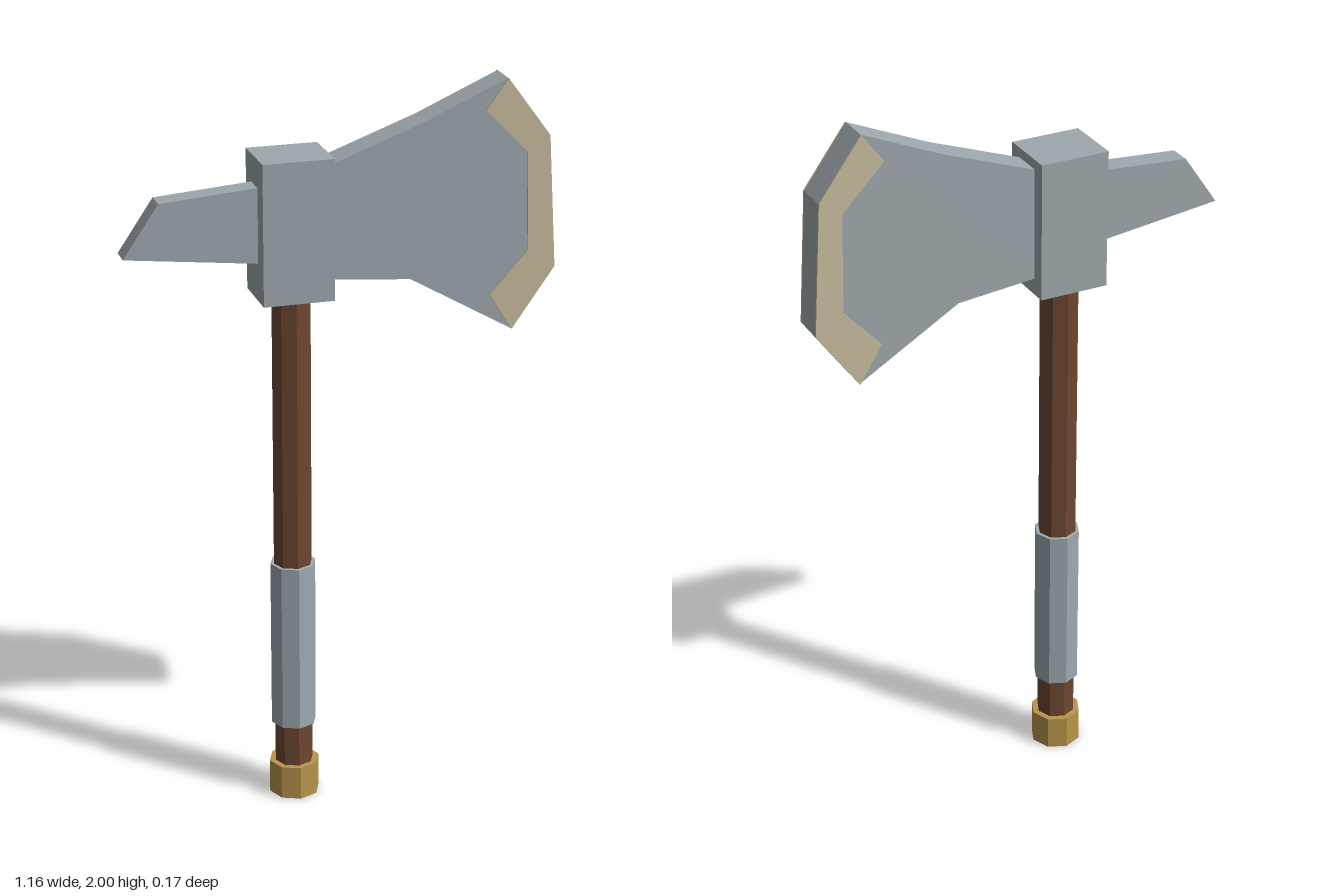
import * as THREE from 'three';

const paint = (name, color) => {
  const m = new THREE.MeshStandardMaterial({ color, flatShading: true });
  m.name = name;
  return m;
};

export function createModel() {
  const steel = paint('steel', 0x9ea8ae);
  const wrap = paint('grip grey', 0x9fabb3);
  const wood = paint('wood', 0x6e4830);
  const brass = paint('brass', 0xb8964a);
  const cream = paint('edge cream', 0xc8bc9e);

  const axe = new THREE.Group();
  axe.name = 'axe';
  const shaftX = -0.133;

  const add = (name, geometry, material, x = 0, y = 0, z = 0) => {
    const mesh = new THREE.Mesh(geometry, material);
    mesh.name = name;
    mesh.position.set(x, y, z);
    axe.add(mesh);
  };

  // Eight-sided post between two heights
  const post = (name, radius, y0, y1, material) =>
    add(name, new THREE.CylinderGeometry(radius, radius, y1 - y0, 8), material, shaftX, (y0 + y1) / 2);

  // Flat plate cut from a front outline, centred on z
  const plate = (name, points, depth, material, z = 0) => {
    const shape = new THREE.Shape(points.map(([x, y]) => new THREE.Vector2(x, y)));
    const geometry = new THREE.ExtrudeGeometry(shape, { depth, bevelEnabled: false });
    add(name, geometry.translate(0, 0, -depth / 2), material, 0, 0, z);
  };

  // Handle
  post('pommel', 0.07, 0, 0.095, brass);
  post('shaft', 0.053, 0.09, 1.5, wood);
  post('grip', 0.063, 0.215, 0.693, wrap);

  // Head block
  add('headBlock', new THREE.BoxGeometry(0.191, 0.38, 0.165), steel, shaftX, 1.645);

  // Blade, sharing its outer rim with the edge trim
  const rim = [[0.463, 1.315], [0.58, 1.48], [0.558, 1.84], [0.44, 2]];
  plate('blade', [[-0.06, 1.502], [0.18, 1.48], ...rim, [0.217, 1.902], [-0.06, 1.8]], 0.085, steel);

  // Pale edge trim on both faces
  const trim = [...rim, [0.38, 1.92], [0.497, 1.8], [0.503, 1.53], [0.4, 1.417]];
  for (const side of [1, -1]) plate('edgeTrim', trim, 0.006, cream, side * 0.0448);

  // Back spike
  plate('backSpike', [[-0.583, 1.6], [-0.2, 1.554], [-0.2, 1.762], [-0.488, 1.74]], 0.062, steel);

  return axe;
}
